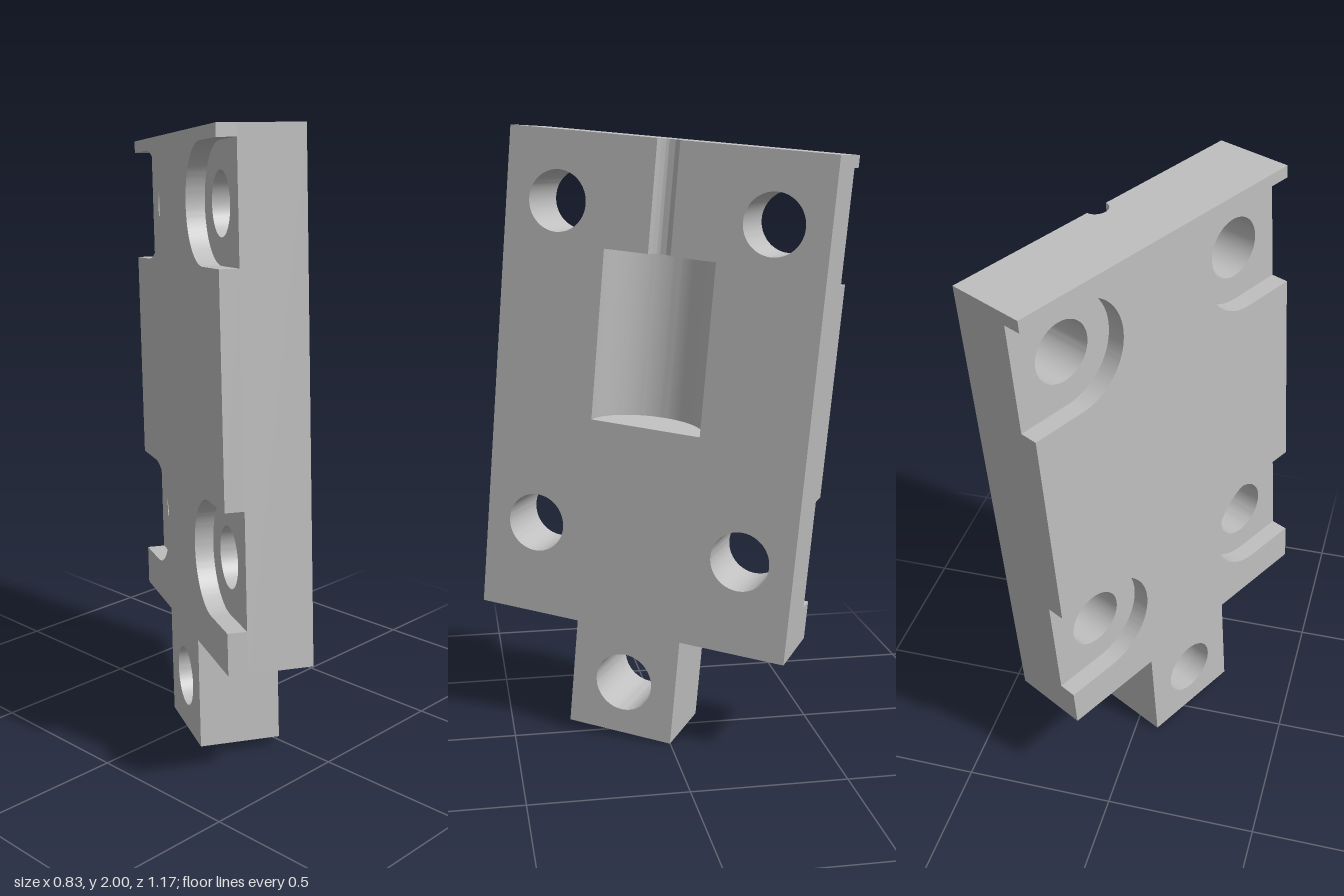
import * as THREE from 'three';
import { toCreasedNormals } from 'three/addons/utils/BufferGeometryUtils.js';

// plate dimensions (local frame: x across, y up the plate, z out of the front face)
const W = 0.53, TOP = 0.955, BOTTOM = -0.63;
const TAB_W = 0.18, TAB_BOTTOM = -0.988;
const FRONT = 0.132, BACK = -0.132, STEP = -0.072;
const HOLE_X = 0.353, HOLE_LOW = -0.32, HOLE_HIGH = 0.736, HOLE_R = 0.097;
const RECESS_R = 0.18;
const POCKET_W = 0.185, POCKET_LOW = 0.058, POCKET_HIGH = 0.605, GROOVE_R = 0.037;

export function createModel() {
  const metal = new THREE.MeshStandardMaterial({ color: 0xc0c0c0 });
  metal.name = 'light grey metal';

  const plate = new THREE.Group();
  plate.name = 'mountingPlate';

  const extrude = (shape, depth) =>
    new THREE.ExtrudeGeometry(shape, { depth, bevelEnabled: false, curveSegments: 32 });

  const add = (name, geometry) => {
    const mesh = new THREE.Mesh(toCreasedNormals(geometry, 0.5), metal);
    mesh.name = name;
    plate.add(mesh);
  };

  const drill = (shape, x, y) =>
    shape.holes.push(new THREE.Path().absarc(x, y, HOLE_R, 0, Math.PI * 2, true));

  // lower edge with the tab, shared by both layers
  const startOutline = () => {
    const s = new THREE.Shape();
    s.moveTo(-W, BOTTOM);
    s.lineTo(-TAB_W, BOTTOM);
    s.lineTo(-TAB_W, TAB_BOTTOM);
    s.lineTo(TAB_W, TAB_BOTTOM);
    s.lineTo(TAB_W, BOTTOM);
    s.lineTo(W, BOTTOM);
    drill(s, 0, -0.81);
    return s;
  };

  // rear layer: round-ended recesses open to the sides around each screw hole
  const rear = startOutline();
  const recess = (side, y) => {
    rear.lineTo(side * W, y - side * RECESS_R);
    rear.lineTo(side * HOLE_X, y - side * RECESS_R);
    rear.absarc(side * HOLE_X, y, RECESS_R, -side * Math.PI / 2, side * Math.PI / 2, true);
    rear.lineTo(side * W, y + side * RECESS_R);
  };
  recess(1, HOLE_LOW);
  recess(1, HOLE_HIGH);
  rear.lineTo(W, TOP);
  rear.lineTo(-W, TOP);
  recess(-1, HOLE_HIGH);
  recess(-1, HOLE_LOW);
  rear.closePath();
  add('rearLayer', extrude(rear, STEP - BACK).translate(0, 0, BACK));

  // front layer: screw holes, with a central slot filled by the two channel blocks
  const front = startOutline();
  front.lineTo(W, TOP);
  front.lineTo(POCKET_W, TOP);
  front.lineTo(POCKET_W, POCKET_LOW);
  front.lineTo(-POCKET_W, POCKET_LOW);
  front.lineTo(-POCKET_W, TOP);
  front.lineTo(-W, TOP);
  front.closePath();
  for (const x of [-HOLE_X, HOLE_X])
    for (const y of [HOLE_LOW, HOLE_HIGH]) drill(front, x, y);
  add('frontLayer', extrude(front, FRONT - STEP).translate(0, 0, STEP));

  // block with a half-round channel in its front, running up the plate
  const channel = (name, r, low, high) => {
    const s = new THREE.Shape();
    s.moveTo(-POCKET_W, -FRONT);
    s.lineTo(-r, -FRONT);
    s.absarc(0, -FRONT, r, Math.PI, 0, true);
    s.lineTo(POCKET_W, -FRONT);
    s.lineTo(POCKET_W, -STEP);
    s.lineTo(-POCKET_W, -STEP);
    s.closePath();
    add(name, extrude(s, high - low).rotateX(-Math.PI / 2).translate(0, low, 0));
  };
  channel('pocket', POCKET_W - 0.001, POCKET_LOW, POCKET_HIGH);
  channel('groove', GROOVE_R, POCKET_HIGH, TOP);

  // tilt in the plate's own plane, then turn about the vertical
  const tilt = THREE.MathUtils.degToRad(5.12);
  plate.rotation.set(0, Math.PI / 3, -tilt);
  plate.position.set(-0.008, 1.0, 0.014);

  const model = new THREE.Group();
  model.name = 'bracket';
  model.add(plate);
  return model;
}
